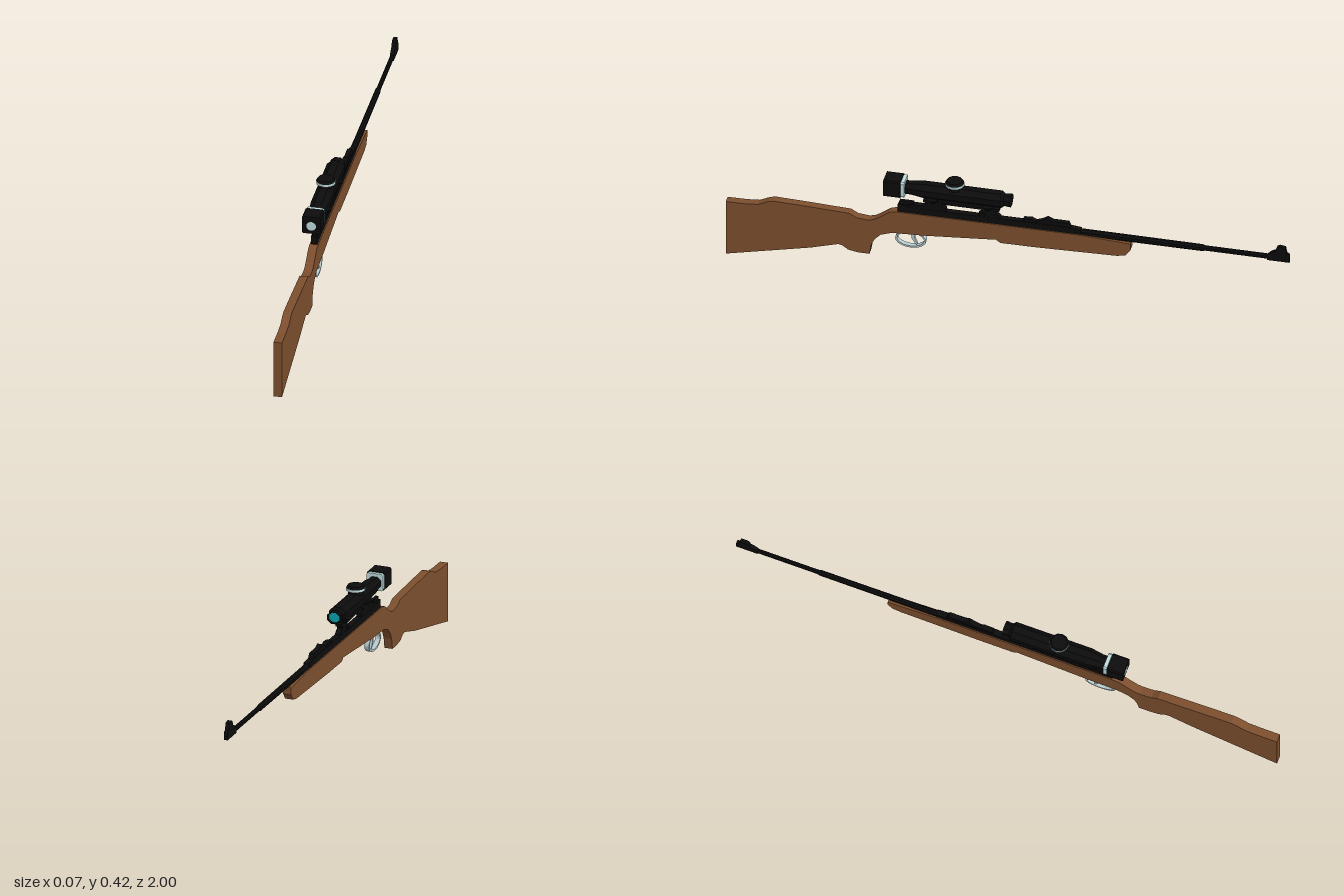
import * as THREE from 'three';

const mat = (color, extra = {}) => {
  const m = new THREE.MeshStandardMaterial(extra);
  m.color.set(color);
  return m;
};

export function createModel() {
  const model = new THREE.Group();
  model.name = 'scopedRifle';
  const wood = mat(0x7d4f2e);
  const black = mat(0x0c0c0c, { flatShading: true });
  const metal = mat(0xb8ccd0);
  const paleGlass = mat(0xbfdde0);
  const cyanGlass = mat(0x10a5b0);

  function add(name, geometry, material, x = 0, y = 0, z = 0) {
    const mesh = new THREE.Mesh(geometry, material);
    mesh.name = name;
    mesh.position.set(x, y, z);
    model.add(mesh);
    return mesh;
  }
  const box = (name, w, y0, y1, z0, z1, material = black, x = 0) =>
    add(name, new THREE.BoxGeometry(w, y1 - y0, Math.abs(z1 - z0)), material, x, (y0 + y1) / 2, (z0 + z1) / 2);

  // Side outline in (z, y), given a thickness across x
  function slab(name, shape, width, material) {
    const g = new THREE.ExtrudeGeometry(shape, { depth: width, bevelEnabled: false, curveSegments: 10 });
    g.translate(0, 0, -width / 2).rotateY(-Math.PI / 2);
    return add(name, g, material);
  }
  const outline = pts => new THREE.Shape(pts.map(p => new THREE.Vector2(...p)));

  // Turned part along z from [radius, z] pairs with z rising
  function turned(name, pts, sides, y, material, turn = 0) {
    const g = new THREE.LatheGeometry(pts.map(p => new THREE.Vector2(...p)), sides);
    g.rotateY(turn).rotateX(Math.PI / 2);
    return add(name, g, material, 0, y, 0);
  }

  // Wooden stock with grip and fore-end
  slab('stock', outline([
    [1, 0.004], [0.7, 0.074], [0.6, 0.104], [0.585, 0.1], [0.565, 0.086], [0.53, 0.08], [0.49, 0.08],
    [0.483, 0.12], [0.47, 0.145], [0.45, 0.165], [0.41, 0.179], [0.3, 0.184], [0.04, 0.206], [0.025, 0.195],
    [-0.1, 0.196], [-0.39, 0.204], [-0.42, 0.211], [-0.437, 0.234], [-0.437, 0.26],
    [-0.25, 0.27], [0.4, 0.268], [0.42, 0.262], [0.457, 0.235], [0.475, 0.224], [0.495, 0.219], [0.537, 0.223],
    [0.56, 0.237], [0.7, 0.243], [0.83, 0.247], [0.85, 0.242], [0.885, 0.225], [0.93, 0.221], [1, 0.22],
  ]), 0.03, wood);

  // Receiver and barrel
  slab('receiver', outline([
    [0.39, 0.262], [0.39, 0.298], [0.36, 0.298], [0.35, 0.291], [-0.2, 0.293], [-0.26, 0.287], [-0.26, 0.262],
  ]), 0.022, black);
  const barrel = turned('barrel', [
    [0, -1], [0.01, -1], [0.01, -0.7], [0.013, -0.69], [0.014, -0.25], [0.014, 0.3], [0, 0.3],
  ], 8, 0.274, black, Math.PI / 8);
  barrel.scale.x = 0.75;
  add('muzzleBore', new THREE.CircleGeometry(0.005, 10).rotateY(Math.PI), mat(0x030303), 0, 0.274, -1.0005);
  add('boltHandle', new THREE.BoxGeometry(0.012, 0.016, 0.05), black, 0, 0.303, 0.36);

  // Front sight
  slab('frontSight', outline([
    [-0.92, 0.28], [-0.935, 0.295], [-0.95, 0.302], [-0.955, 0.318], [-0.965, 0.323],
    [-0.985, 0.32], [-0.99, 0.296], [-1, 0.29], [-1, 0.262], [-0.92, 0.262],
  ]), 0.014, black);

  // Rear sight
  slab('rearSight', outline([
    [-0.05, 0.285], [-0.055, 0.303], [-0.085, 0.305], [-0.1, 0.297], [-0.125, 0.307], [-0.14, 0.317],
    [-0.16, 0.308], [-0.215, 0.308], [-0.225, 0.285],
  ]), 0.018, black);

  // Scope mount: feet, legs and bridge
  slab('rearMount', outline([
    [0.37, 0.285], [0.345, 0.303], [0.3, 0.303], [0.285, 0.313], [0.29, 0.328],
    [0.235, 0.328], [0.235, 0.315], [0.22, 0.303], [0.22, 0.285],
  ]), 0.02, black);
  slab('frontMount', outline([
    [0.11, 0.285], [0.105, 0.3], [0.09, 0.31], [0.1, 0.328], [0.04, 0.328], [0.045, 0.31], [0.03, 0.3], [0.02, 0.285],
  ]), 0.02, black);
  box('mountBridge', 0.022, 0.32, 0.33, 0.3, 0.03);
  for (const z of [0.265, 0.07]) {
    const clamp = add('scopeClamp', new THREE.CylinderGeometry(0.038, 0.02, 0.018, 8).rotateY(Math.PI / 8),
      black, 0, 0.334, z);
    clamp.scale.z = 0.7;
  }
  add('mountScrew', new THREE.CylinderGeometry(0.009, 0.009, 0.03, 8).rotateZ(Math.PI / 2), black, 0, 0.3, 0.09);

  // Scope tube, open cup at its far end
  const scopeY = 0.367;
  const tube = turned('scopeTube', [
    [0.018, 0.012], [0.024, -0.012], [0.027, -0.012], [0.025, 0.012], [0.034, 0.022],
    [0.034, 0.3], [0.027, 0.345], [0.027, 0.38],
  ], 8, scopeY, mat(0x0c0c0c, { flatShading: true, side: THREE.DoubleSide }), Math.PI / 8);
  tube.scale.y = 0.88;
  add('objectiveLens', new THREE.CircleGeometry(0.022, 20).rotateY(Math.PI), cyanGlass, 0, scopeY, -0.004);

  // Square eyepiece with a pale ring in front of it
  function chamferedSquare(h, c) {
    return outline([[-h, c - h], [c - h, -h], [h - c, -h], [h, c - h], [h, h - c], [h - c, h], [c - h, h], [-h, h - c]]);
  }
  add('eyepiece', new THREE.ExtrudeGeometry(chamferedSquare(0.033, 0.005), { depth: 0.06, bevelEnabled: false }),
    black, 0, scopeY + 0.003, 0.377);
  add('eyepieceRing', new THREE.ExtrudeGeometry(chamferedSquare(0.031, 0.006), { depth: 0.013, bevelEnabled: false }),
    paleGlass, 0, scopeY + 0.003, 0.363);
  add('eyepieceLens', new THREE.CircleGeometry(0.017, 24), paleGlass, 0, scopeY, 0.438);

  // Adjustment turret on top
  add('turretBase', new THREE.CylinderGeometry(0.024, 0.028, 0.015, 12), black, 0, 0.395, 0.19);
  add('turretRing', new THREE.CylinderGeometry(0.034, 0.034, 0.009, 12), paleGlass, 0, 0.4065, 0.19);
  add('turretCap', new THREE.CylinderGeometry(0.028, 0.033, 0.009, 12), black, 0, 0.4155, 0.19);

  // Trigger guard loop and trigger
  const guard = new THREE.Shape();
  guard.absellipse(0.345, 0.157, 0.055, 0.033, 0, Math.PI * 2);
  const hole = new THREE.Path();
  hole.absellipse(0.345, 0.158, 0.048, 0.027, 0, Math.PI * 2, true);
  guard.holes.push(hole);
  slab('triggerGuard', guard, 0.018, metal);
  slab('trigger', outline([
    [0.345, 0.185], [0.342, 0.16], [0.327, 0.137], [0.321, 0.139], [0.331, 0.162], [0.329, 0.185],
  ]), 0.01, metal);

  return model;
}
